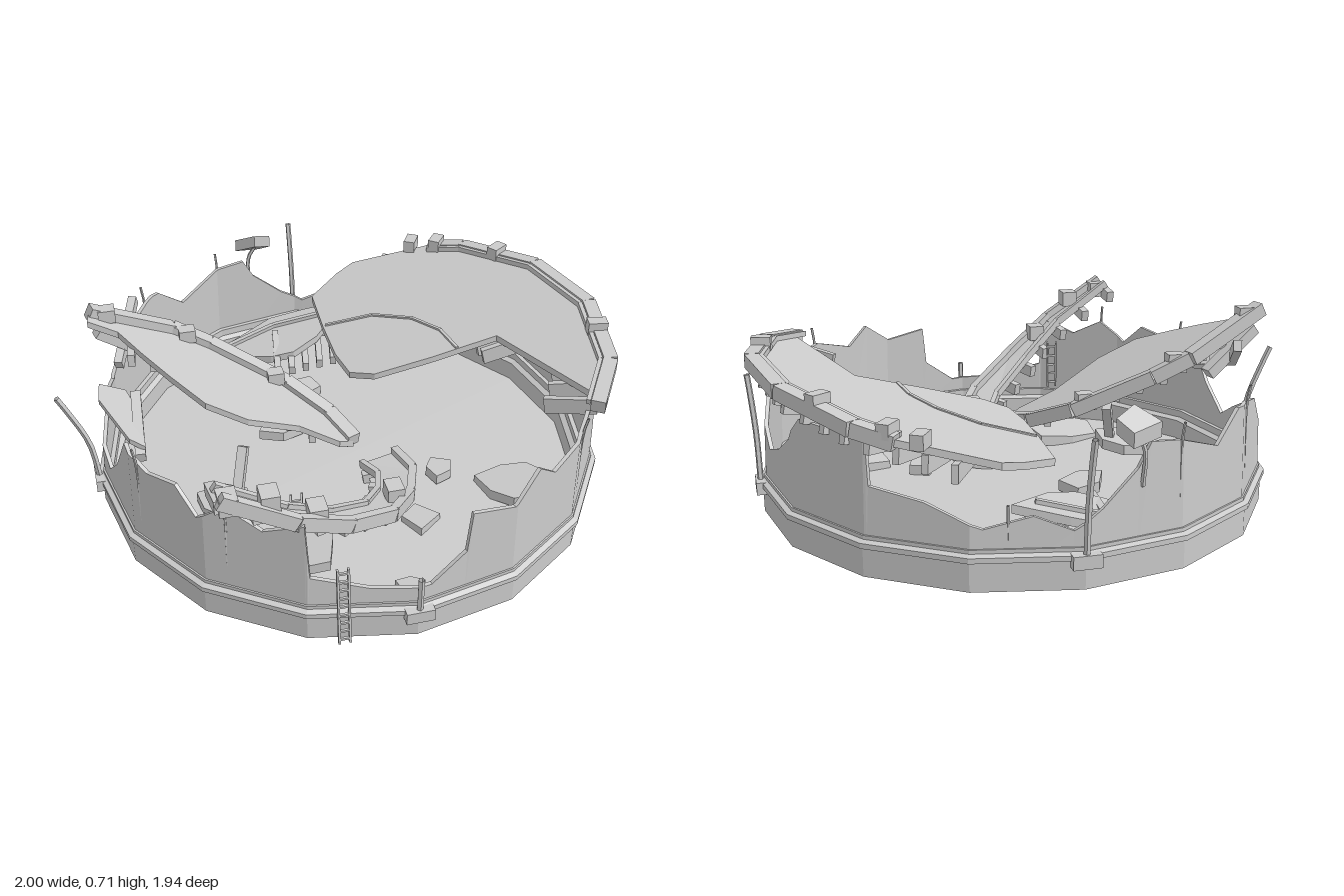
import * as THREE from 'three';

const CX = 0.045, CZ = 0.03, SIDES = 16, STEP = 360 / SIDES;
const rad = THREE.MathUtils.degToRad;
const V = (x, y, z) => new THREE.Vector3(x, y, z);

export function createModel() {
  const model = new THREE.Group();
  const mat = new THREE.MeshStandardMaterial({ color: 0xcccccc, flatShading: true, side: THREE.DoubleSide });

  const add = (name, geo, parent = model) => {
    const m = new THREE.Mesh(geo, mat);
    m.name = name;
    parent.add(m);
    return m;
  };
  const group = (name) => {
    const g = new THREE.Group();
    g.name = name;
    model.add(g);
    return g;
  };
  // straight beam between two points
  const beam = (name, a, b, w, h, parent) => {
    const m = add(name, new THREE.BoxGeometry(w, h, a.distanceTo(b)), parent);
    m.position.copy(a).lerp(b, 0.5);
    m.lookAt(b);
    return m;
  };
  const chain = (name, pts, w, h, parent) => {
    for (let i = 1; i < pts.length; i++) beam(name, pts[i - 1], pts[i], w, h, parent);
  };
  // plate with an outline in x,z whose top follows height(x, z)
  const plate = (name, outline, height, t, parent) => {
    const shape = new THREE.Shape(outline.map(([x, z]) => new THREE.Vector2(x, -z)));
    const geo = new THREE.ExtrudeGeometry(shape, { depth: t, bevelEnabled: false });
    geo.rotateX(-Math.PI / 2);
    const p = geo.attributes.position;
    for (let i = 0; i < p.count; i++) p.setY(i, p.getY(i) - t + height(p.getX(i), p.getZ(i)));
    geo.computeVertexNormals();
    return add(name, geo, parent);
  };
  const rod = (name, pts, r, parent) =>
    add(name, new THREE.TubeGeometry(new THREE.CatmullRomCurve3(pts), 8, r, 5), parent);
  // point on the sixteen-sided outline
  const onRing = (deg, r, y) => {
    const local = ((deg % STEP) + STEP) % STEP - STEP / 2;
    const k = r * Math.cos(rad(STEP / 2)) / Math.cos(rad(local));
    return V(CX + k * Math.cos(rad(deg)), y, CZ + k * Math.sin(rad(deg)));
  };

  // base drum with rim, inner ledge and floor
  const profile = [[0, 0], [0.918, 0], [0.918, 0.095], [0.93, 0.1], [0.93, 0.118], [0.912, 0.125], [0.912, 0.138],
    [0.875, 0.138], [0.875, 0.11], [0.855, 0.1], [0.855, 0.025], [0, 0.025]];
  const base = add('base', new THREE.LatheGeometry(profile.map(([r, y]) => new THREE.Vector2(r, y)), SIDES));
  base.position.set(CX, 0, CZ);

  // jagged broken wall: angle from +x towards +z, top height
  const ridge = [[-180, .25], [-172, .3], [-165, .34], [-158, .3], [-150, .42], [-138, .46], [-133, .46], [-125, .36],
    [-112, .43], [-105, .44], [-102, .36], [-94, .25], [-88, .19], [-80, .24], [-70, .2], [-58, .27], [-46, .3],
    [-45.5, .45], [-25, .45], [-20, .36], [-12, .29], [-4, .25], [2, .36], [6, .42], [17, .44], [22, .24], [26, .46],
    [35, .45], [42, .46], [54, .41], [60, .48], [68, .4], [78, .43], [79, .28], [87, .19], [100, .2], [112, .25],
    [113, .46], [122, .4], [130, .46], [137, .38], [143, .46], [152, .43], [160, .48], [168, .3], [175, .2], [180, .25]];
  const topAt = (a) => {
    const i = Math.max(1, ridge.findIndex(([d]) => d >= a));
    const [a0, h0] = ridge[i - 1], [a1, h1] = ridge[i];
    return h0 + (h1 - h0) * (a - a0) / (a1 - a0);
  };
  const angles = ridge.map(([a]) => a);
  for (let a = -180; a <= 180; a += STEP) angles.push(a);
  angles.sort((a, b) => a - b);
  const pos = [], idx = [];
  angles.forEach((a, i) => {
    const h = topAt(a), lean = 0.02 * h;
    for (const p of [onRing(a, .907, .1), onRing(a, .907 - lean, h), onRing(a, .893 - lean, h), onRing(a, .893, .1)])
      pos.push(p.x, p.y, p.z);
    if (i) for (let k = 0; k < 3; k++) {
      const q = i * 4 + k, p = q - 4;
      idx.push(p, p + 1, q, q, p + 1, q + 1);
    }
  });
  const wallGeo = new THREE.BufferGeometry();
  wallGeo.setAttribute('position', new THREE.Float32BufferAttribute(pos, 3));
  wallGeo.setIndex(idx);
  wallGeo.computeVertexNormals();
  add('brokenWall', wallGeo);

  // clamps and bent posts on the four axes: outward lean and height
  const posts = group('posts');
  [[0, .025, .51], [90, .0, .25], [180, .11, .48], [270, .065, .51]].forEach(([a, lean, top]) => {
    const clamp = add('clamp', new THREE.BoxGeometry(.05, .045, .095), posts);
    clamp.position.copy(onRing(a, .918, .1));
    clamp.rotation.y = -rad(a);
    rod('post', [onRing(a, .925, .1), onRing(a, .925 + lean * .2, .1 + (top - .1) * .45),
      onRing(a, .925 + lean * .7, top - .07), onRing(a, .925 + lean, top)], .011, posts);
  });
  // thin reinforcing rods poking from the wall
  for (const a of [-138, -112, 42, 130, 155, -75])
    rod('wallRod', [onRing(a, .9, .15), onRing(a, .9, topAt(a)), onRing(a, .91, topAt(a) + .06)], .005, posts);

  // large fallen roof section, resting high on the wall
  const roof = group('largeRoof');
  const tilt = (x) => .325 + .25 * x;
  plate('roofSheet', [[.07, -.63], [.2, -.73], [.28, -.77], [.42, -.74], [.6, -.7], [.73, -.61], [.92, -.34], [.99, .02],
    [.92, .37], [.81, .57], [.78, .48], [.62, .03], [.37, .02], [.16, 0], [.08, -.06], [.06, -.2], [.06, -.4]], tilt, .025, roof);
  const rimAngles = [-54, -45, -22.5, 0, 22.5, 37];
  const roofPoint = (a, r, dy) => {
    const p = onRing(a, r, 0);
    p.x += .02;
    return p.setY(tilt(p.x) + dy);
  };
  chain('roofRim', rimAngles.map((a) => roofPoint(a, .91, -.01)), .05, .05, roof);
  chain('roofLip', rimAngles.map((a) => roofPoint(a, .875, .008)), .015, .02, roof);
  chain('roofSeam', [[.07, -.4], [.25, -.36], [.38, -.25], [.45, -.12], [.47, .02]].map(([x, z]) => V(x, tilt(x), z)), .012, .012, roof);
  for (let a = -66; a <= 34; a += 6.2)
    beam('rafter', roofPoint(a, a > 5 ? .72 : .5, -.055), roofPoint(a, .9, -.055), .022, .06, roof);
  for (const a of [-59, -52, -34, 11]) {
    const b = add('rimBlock', new THREE.BoxGeometry(.07, .05, .045), roof);
    b.position.copy(roofPoint(a, .9, .02));
    b.rotation.y = -rad(a);
  }

  // smaller sheet slumped below it
  const slump = group('slumpedSheet');
  const slumpY = (x) => .18 + .25 * x;
  plate('sheet', [[-.31, -.7], [-.08, -.79], [.06, -.77], [.24, -.73], [.07, -.55], [-.04, -.5], [-.13, -.52], [-.26, -.6]], slumpY, .03, slump);
  chain('sheetRib', [[-.31, -.68], [-.08, -.72], [.15, -.68]].map(([x, z]) => V(x, slumpY(x) + .005, z)), .02, .02, slump);
  for (let i = 0; i < 5; i++)
    beam('sheetRafter', V(-.12 + i * .06, .12, -.43 - i * .01), V(-.08 + i * .06, .15, -.68), .025, .04, slump);

  // steep roof slab leaning on the left wall
  const slab = group('leaningSlab');
  const steep = (x) => .235 - .53 * x;
  const backEdge = [[-.84, -.17], [-.55, -.23], [-.42, -.2], [-.16, -.08], [-.03, .05], [.03, .19]];
  plate('slabSheet', [...backEdge, [-.03, .22], [-.17, .19], [-.36, .24], [-.5, .21], [-.6, .1], [-.68, 0], [-.75, -.1], [-.85, -.11]],
    steep, .025, slab);
  chain('slabRim', backEdge.map(([x, z]) => V(x, steep(x) + .005, z)), .05, .05, slab);
  for (let i = 0; i < 9; i++) {
    const x = -.7 + i * .075, z = -.17 + Math.max(0, i - 3) * .045;
    beam('slabRafter', V(x, steep(x) - .045, z), V(x - .02, steep(x - .02) - .045, z + .17 - i * .006), .025, .045, slab);
  }
  for (const [x, z] of [[-.78, -.17], [-.5, -.2], [-.2, -.08]])
    add('slabBlock', new THREE.BoxGeometry(.06, .05, .05), slab).position.set(x, steep(x) + .02, z);

  // bent side sheet with loose beams behind the slab
  const side = group('sideDebris');
  plate('sideSheet', [[-.84, -.02], [-.75, -.03], [-.71, .12], [-.72, .29], [-.77, .27], [-.85, .08]], (x) => .02 - .55 * x, .02, side);
  beam('sideBeam', V(-.74, .38, .3), V(-.72, .45, .03), .035, .04, side);
  beam('sideBeam', V(-.67, .6, -.36), V(-.76, .48, -.12), .03, .04, side);
  beam('sideBeam', V(-.82, .61, -.16), V(-.63, .46, -.2), .045, .04, side);
  beam('sideBeam', V(-.43, .05, .28), V(-.37, .25, .16), .035, .035, side);

  // curved rim segment sliding from the front wall to the floor
  const arc = group('fallenRim');
  const path = [[-.56, .61, .81], [-.33, .46, .79], [-.15, .33, .7], [.02, .22, .57], [.12, .14, .41], [.17, .1, .26], [.14, .08, .14]]
    .map((p) => V(...p));
  const arcSheet = [], across = [];
  path.forEach((p, i) => {
    const d = path[Math.min(6, i + 1)].clone().sub(path[Math.max(0, i - 1)]).setY(0).normalize();
    const n = V(d.z, 0, -d.x), w = .035 + .006 * i;
    across.push(n);
    arcSheet.push(p.clone().addScaledVector(n, w), p.clone().addScaledVector(n, -w));
  });
  for (let i = 0; i < 6; i++) {
    const [a, b, c, d] = arcSheet.slice(i * 2, i * 2 + 4);
    const g = new THREE.BufferGeometry().setFromPoints([a, c, b, b, c, d]);
    g.computeVertexNormals();
    add('rimSheet', g, arc);
  }
  chain('rimRail', arcSheet.filter((_, i) => i % 2), .03, .05, arc);
  chain('rimRail', arcSheet.filter((_, i) => !(i % 2)), .02, .03, arc);
  for (let i = 0; i < 13; i++) {
    const k = Math.min(5, Math.floor(i / 2)), p = path[k].clone().lerp(path[k + 1], (i % 2) * .5);
    beam('rimStub', p.clone().addScaledVector(across[k], .09).setY(p.y - .05),
      p.clone().addScaledVector(across[k], -.03).setY(p.y - .03), .03, .045, arc);
  }
  for (const [x, y, z] of [[-.53, .58, .82], [-.4, .55, .8], [-.24, .42, .75], [.1, .2, .47]])
    add('rimBlock', new THREE.BoxGeometry(.06, .06, .07), arc).position.set(x, y, z);

  // ladders: one outside the wall, one broken piece inside
  const ladder = (name, a, b, rungs) => {
    const g = group(name);
    for (const s of [-.018, .018]) beam('rail', a.clone().add(V(s, 0, 0)), b.clone().add(V(s, 0, 0)), .007, .012, g);
    for (let i = 0; i < rungs; i++) {
      const p = a.clone().lerp(b, (i + .5) / rungs);
      beam('rung', p.clone().add(V(-.018, 0, 0)), p.clone().add(V(.018, 0, 0)), .008, .008, g);
    }
  };
  ladder('outerLadder', V(-.195, .005, .93), V(-.195, .3, .9), 9);
  ladder('innerLadder', V(-.31, .18, .73), V(-.28, .4, .63), 5);

  // hanging chunk on a bent rod at the back
  const hang = group('hangingChunk');
  plate('chunk', [[-.2, -.86], [-.1, -.89], [-.06, -.84], [-.13, -.8]], (x, z) => .53 + (z + .84) * .7, .05, hang);
  rod('chunkRod', [onRing(-103, .9, .3), V(-.15, .43, -.85), V(-.12, .49, -.84)], .008, hang);

  // rubble lying on the floor: centre x, z, radius, sides, top height
  const rubble = group('rubble');
  [[-.28, .52, .15, 7, .07], [.59, .37, .12, 7, .07], [.35, .23, .06, 5, .07], [-.38, -.42, .06, 5, .07], [-.18, -.15, .08, 5, .08],
    [.07, .78, .045, 5, .06], [-.19, -.44, .045, 5, .06], [-.46, .24, .1, 6, .09], [.2, .45, .07, 4, .05], [-.02, -.4, .07, 5, .07]]
    .forEach(([x, z, r, n, top], i) => {
      const pts = [];
      for (let k = 0; k < n; k++) {
        const t = k / n * Math.PI * 2 + i, q = r * (1 + .2 * Math.sin(k * 2.3 + i));
        pts.push([x + q * Math.cos(t), z + q * Math.sin(t)]);
      }
      plate('rubblePiece', pts, (px, pz) => top + .15 * (px - x) * Math.cos(i) + .1 * (pz - z), .04, rubble);
    });
  return model;
}
